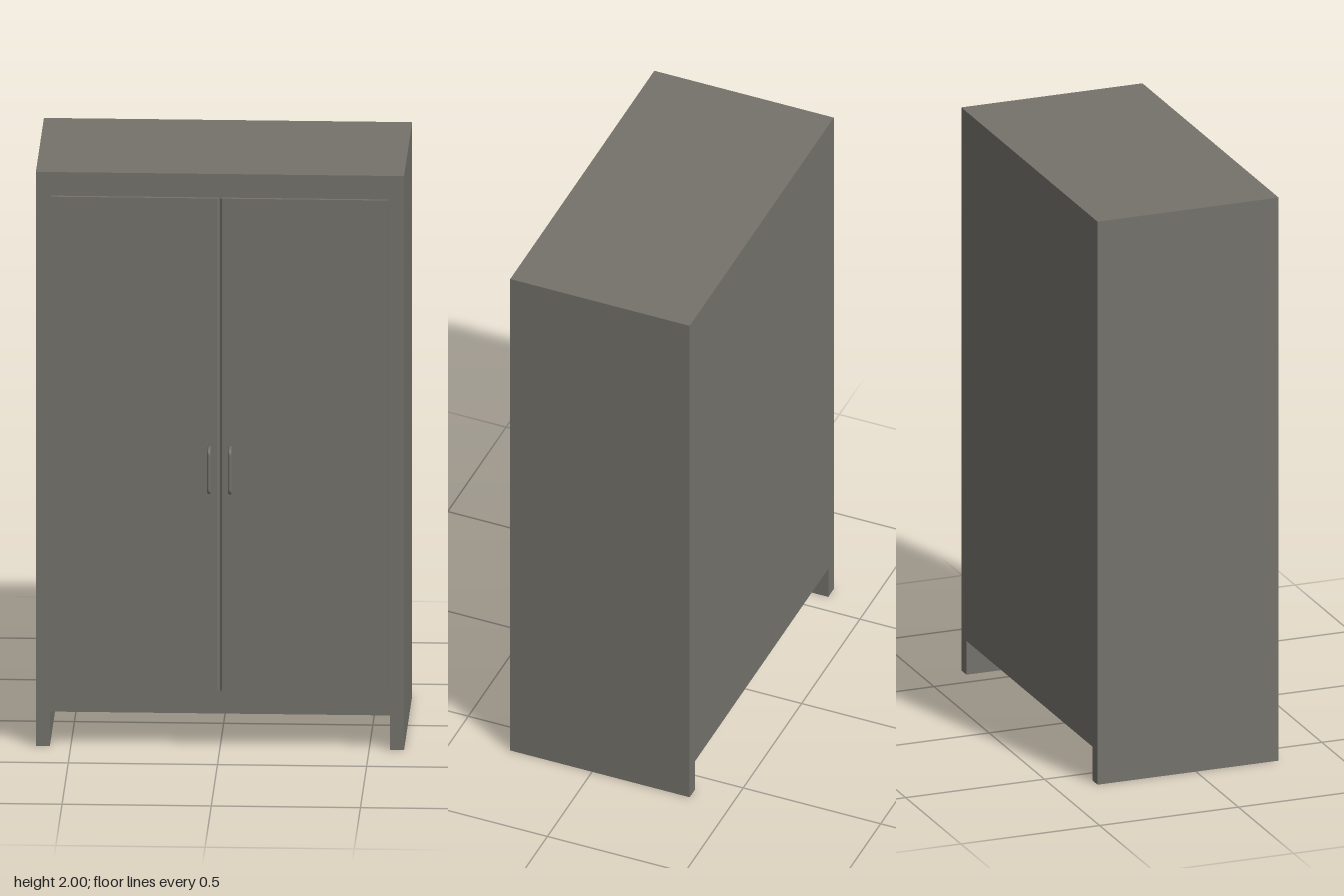
import * as THREE from 'three';

const HALF_W = 0.617, BACK = -0.355, FRONT = 0.298, DOOR_FRONT = 0.311;

// Closed outline from a list of [x, y] points
function outline(points) {
  return new THREE.Shape(points.map(([x, y]) => new THREE.Vector2(x, y)));
}

export function createModel() {
  const group = new THREE.Group();
  group.name = 'wardrobe';
  const paint = new THREE.MeshStandardMaterial({ color: 0x74726b });
  paint.name = 'warm grey';

  const add = (name, geometry) => {
    const mesh = new THREE.Mesh(geometry, paint);
    mesh.name = name;
    group.add(mesh);
    return mesh;
  };

  // Carcass with full-depth side feet, as one front outline pushed back
  const carcass = new THREE.ExtrudeGeometry(outline([
    [-HALF_W, 0], [-0.57, 0], [-0.57, 0.12], [0.57, 0.12],
    [0.57, 0], [HALF_W, 0], [HALF_W, 2], [-HALF_W, 2],
  ]), { depth: FRONT - BACK, bevelEnabled: false });
  carcass.translate(0, 0, BACK);
  add('carcass', carcass);

  for (const [side, s] of [['left', 1], ['right', -1]]) {
    // Door plan (x, -z), chamfered along the meeting edge, raised upwards
    const points = [
      [0.001, -FRONT], [0.001, -0.305], [0.008, -DOOR_FRONT],
      [0.566, -DOOR_FRONT], [0.566, -FRONT],
    ].map(([x, z]) => [s * x, z]);
    const door = new THREE.ExtrudeGeometry(outline(points), { depth: 1.715, bevelEnabled: false });
    door.rotateX(-Math.PI / 2);
    door.translate(0, 0.203, 0);
    add(side + 'Door', door);

    // Bow handle: a round bar with rounded corners
    const x = s * 0.035, r = 0.006, out = 0.355 - r, low = 0.895 + r, high = 1.055 - r, c = 0.016;
    const p = (y, z) => new THREE.Vector3(x, y, z);
    const path = new THREE.CurvePath();
    path.add(new THREE.LineCurve3(p(low, DOOR_FRONT - 0.003), p(low, out - c)));
    path.add(new THREE.QuadraticBezierCurve3(p(low, out - c), p(low, out), p(low + c, out)));
    path.add(new THREE.LineCurve3(p(low + c, out), p(high - c, out)));
    path.add(new THREE.QuadraticBezierCurve3(p(high - c, out), p(high, out), p(high, out - c)));
    path.add(new THREE.LineCurve3(p(high, out - c), p(high, DOOR_FRONT - 0.003)));
    add(side + 'Handle', new THREE.TubeGeometry(path, 64, r, 12, false));
  }
  return group;
}
